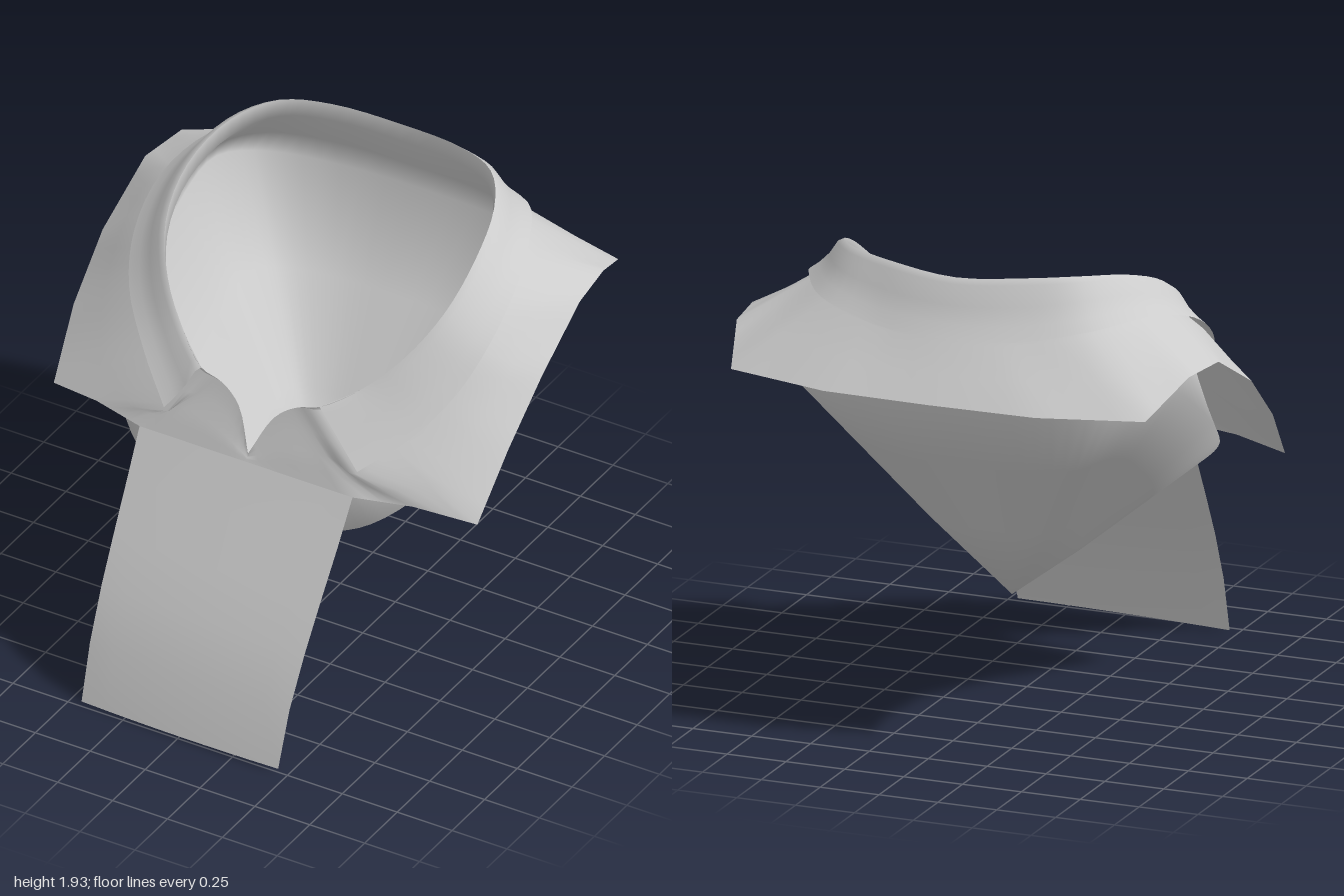
import * as THREE from 'three';
import { mergeVertices } from 'three/addons/utils/BufferGeometryUtils.js';

const STEPS = 4; // samples between neighbouring stations
const V = (p) => new THREE.Vector3(...p);

// half profile (back centre to front) -> full path: front, right side, back, left side, front
// shift moves single stations of the right side inwards
function mirrored(half, shift = {}) {
  const right = half.map(([x, y, z], i) => V([-x + (shift[i] ?? 0), y, z])).slice(1).reverse();
  return [...right, ...half.map(V)];
}

function smooth(points) {
  return new THREE.CatmullRomCurve3(points).getPoints((points.length - 1) * STEPS);
}

function straight(points) {
  const out = [];
  for (let i = 0; i < points.length - 1; i++) {
    for (let k = 0; k < STEPS; k++) out.push(points[i].clone().lerp(points[i + 1], k / STEPS));
  }
  out.push(points[points.length - 1].clone());
  return out;
}

const blend = (a, b, t, change = (p) => p) => a.map((p, i) => change(p.clone().lerp(b[i], t)));

// skin a list of equally long rows
function loft(rows, material, name) {
  const n = rows[0].length;
  const index = [];
  for (let r = 0; r < rows.length - 1; r++) {
    for (let c = 0; c < n - 1; c++) {
      const a = r * n + c, b = a + 1, d = a + n, e = d + 1;
      index.push(a, b, d, b, e, d);
    }
  }
  let g = new THREE.BufferGeometry();
  g.setAttribute('position', new THREE.Float32BufferAttribute(rows.flat().flatMap((p) => p.toArray()), 3));
  g.setIndex(index);
  g = mergeVertices(g, 1e-4);
  g.computeVertexNormals();
  const mesh = new THREE.Mesh(g, material);
  mesh.name = name;
  return mesh;
}

export function createModel() {
  const fabric = new THREE.MeshStandardMaterial({ color: 0xcccccc, side: THREE.DoubleSide });
  fabric.name = 'light grey fabric';
  const model = new THREE.Group();
  model.name = 'shirtCollar';

  // collar fold line, back to front
  const rim = [
    [0, 1.905, -0.725], [0.3, 1.925, -0.68], [0.48, 1.93, -0.595], [0.6, 1.9, -0.42], [0.655, 1.81, -0.18],
    [0.635, 1.67, 0.02], [0.54, 1.51, 0.165], [0.41, 1.38, 0.27], [0.27, 1.3, 0.365],
  ];
  // lower edge of the turned-down collar
  const edge = [
    [0, 1.69, -0.855], [0.3, 1.7, -0.82], [0.58, 1.75, -0.71], [0.73, 1.76, -0.47], [0.81, 1.69, -0.22],
    [0.82, 1.56, 0], [0.77, 1.41, 0.16], [0.66, 1.26, 0.32], [0.5, 1.13, 0.465],
  ];
  const collarShift = { 4: 0.01, 5: 0.03, 6: 0.05, 7: 0.1, 8: 0.12 };

  // collar: rolled fold and slightly hollow outer leaf
  const rimRow = smooth(mirrored(rim));
  const edgeRow = smooth(mirrored(edge, collarShift));
  const bulge = (amount) => (p) => {
    const d = new THREE.Vector3(p.x, 0.35, p.z + 0.15).normalize();
    return p.addScaledVector(d, amount);
  };
  model.add(loft([
    rimRow,
    blend(rimRow, edgeRow, 0.12, bulge(0.01)),
    blend(rimRow, edgeRow, 0.45, bulge(-0.005)),
    blend(rimRow, edgeRow, 0.75, bulge(-0.006)),
    edgeRow,
  ], fabric, 'collar'));

  // shoulder yoke: neckline, line under the collar edge, outer hem
  const opening = [[0.17, 1.265, 0.37], [0.08, 1.2, 0.395], [0, 1.04, 0.46]];
  const neck = [
    ...rim.map(([x, y, z], i) => (i < 8 ? [x * 0.995, y - 0.05, z * 0.995] : [x, y - 0.012, z])),
    ...opening,
  ];
  const under = [
    ...edge.map(([x, y, z]) => [x * 0.985, y - 0.022, z * 0.975]),
    [0.34, 1.13, 0.43], [0.16, 1.1, 0.44], [0, 1.025, 0.467],
  ];
  const hem = [
    [0, 1.46, -1], [0.45, 1.46, -0.99], [0.88, 1.47, -0.9], [0.96, 1.59, -0.65], [0.99, 1.59, -0.42],
    [1, 1.42, -0.11], [0.99, 1.21, 0.13], [0.98, 0.98, 0.35], [0.72, 1.01, 0.41],
    [0.485, 1.01, 0.475], [0.24, 1.01, 0.475], [0, 1.01, 0.475],
  ];
  const neckRow = smooth(mirrored(neck));
  const underRow = smooth(mirrored(under, collarShift));
  const hemRow = straight(mirrored(hem, { 7: 0.03 }));
  model.add(loft([
    neckRow, blend(neckRow, underRow, 0.5, bulge(-0.006)), underRow, blend(underRow, hemRow, 0.5), hemRow,
  ], fabric, 'yoke'));

  // lining: drops from the fold line, widens, then closes to a low point
  const ring = [
    [0, 1.46, -0.94], [0.4, 1.46, -0.92], [0.68, 1.48, -0.83], [0.81, 1.51, -0.66], [0.83, 1.45, -0.45],
    [0.81, 1.3, -0.18], [0.77, 1.14, 0.08], [0.7, 1, 0.27], [0.53, 0.86, 0.41],
    [0.36, 0.8, 0.47], [0.18, 0.775, 0.51], [0, 0.77, 0.52],
  ];
  const topRow = smooth(mirrored([...rim, ...opening]));
  const lipRow = topRow.map((p) => new THREE.Vector3(p.x * 0.99, p.y - 0.07, p.z * 0.985));
  const ringRow = smooth(mirrored(ring));
  const tipRow = ringRow.map(() => V([0, 0.43, -0.15]));
  const widen = (s) => (p) => { p.x *= s; return p; };
  model.add(loft([
    topRow, lipRow,
    blend(lipRow, ringRow, 0.5, widen(1.03)),
    ringRow,
    blend(ringRow, tipRow, 0.33, widen(1.02)),
    blend(ringRow, tipRow, 0.67, widen(1.08)),
    tipRow,
  ], fabric, 'lining'));

  // front bib: [y, z, half width] from the yoke down
  const bib = [[1.01, 0.475, 0.485], [0.83, 0.578, 0.48], [0.63, 0.7, 0.473], [0.45, 0.805, 0.467],
    [0.24, 0.908, 0.46], [0.005, 0.983, 0.455]];
  model.add(loft(bib.map(([y, z, w], r) => {
    const row = [];
    const drop = r / (bib.length - 1);
    for (let i = 0; i <= 8; i++) {
      const s = 1 - i / 4;
      row.push(V([s * w, y + 0.006 * drop * (1 + s), z + drop * (0.01 * (1 - s * s) + 0.012 * s)]));
    }
    return row;
  }), fabric, 'bib'));

  return model;
}
